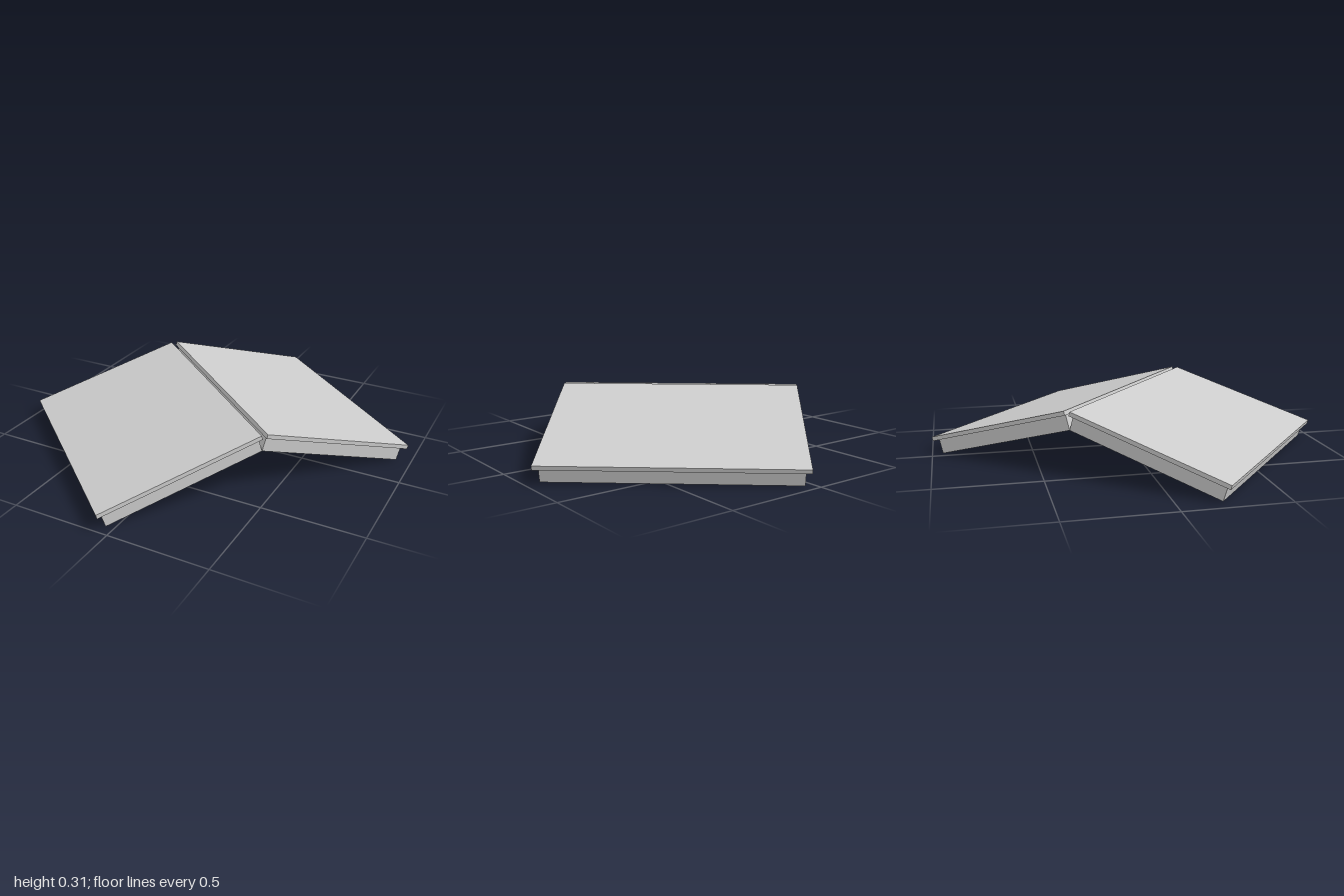
import * as THREE from 'three';

const SLOPE = THREE.MathUtils.degToRad(16);
const RIDGE_Y = 0.2158;

export function createModel() {
  const model = new THREE.Group();
  model.name = 'hingedPanels';
  const paint = new THREE.MeshStandardMaterial({ color: 0xcccccc });
  paint.name = 'light grey';

  // Box given by its range along the slope, its range in height and its width
  const slab = (name, s0, s1, n0, n1, width) => {
    const mesh = new THREE.Mesh(new THREE.BoxGeometry(s1 - s0, n1 - n0, width), paint);
    mesh.name = name;
    mesh.position.set((s0 + s1) / 2, (n0 + n1) / 2, 0);
    return mesh;
  };

  // Two identical panels falling away from the shared lower ridge edge
  for (const [name, turn] of [['backPanel', 0], ['frontPanel', Math.PI]]) {
    const side = new THREE.Group();
    side.name = name;
    side.rotation.y = THREE.MathUtils.degToRad(50) + turn;

    const tilted = new THREE.Group();
    tilted.name = name + 'Slope';
    tilted.position.y = RIDGE_Y;
    tilted.rotation.z = -SLOPE;
    tilted.add(
      slab('base', 0, 0.783, 0, 0.074, 1.155),
      slab('topPlate', -0.011, 0.804, 0.074, 0.095, 1.203),
    );
    side.add(tilted);
    model.add(side);
  }
  return model;
}
